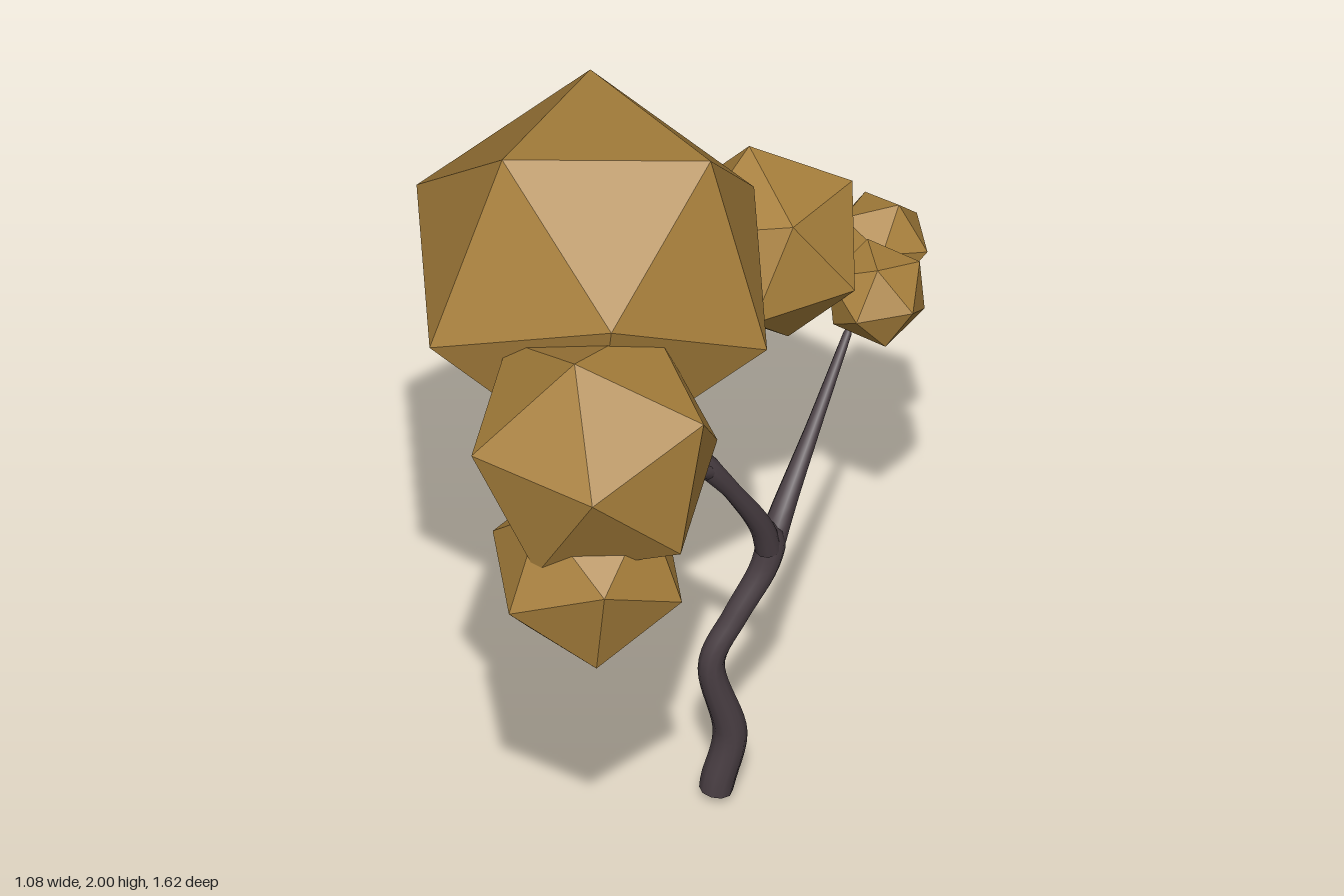
import * as THREE from 'three';

const V = (p) => new THREE.Vector3(...p);
const leafMaterial = new THREE.MeshStandardMaterial({ color: 0xa8803c, flatShading: true });
const barkMaterial = new THREE.MeshStandardMaterial({ color: 0x4a3f44 });

// Icosahedral leaf clump; a and b point from its centre to two neighbouring corners
function clump(name, radius, centre, a, b) {
  const va = V(a).normalize(), vb = V(b).normalize();
  const x = vb.clone().sub(va).normalize();
  const y = va.add(vb).normalize();
  const mesh = new THREE.Mesh(new THREE.IcosahedronGeometry(radius, 0), leafMaterial);
  mesh.quaternion.setFromRotationMatrix(
    new THREE.Matrix4().makeBasis(x, y, x.clone().cross(y)));
  mesh.position.set(...centre);
  mesh.name = name;
  return mesh;
}

// Tapered limb through points [x, y, z, radius], closed at both ends
function limb(name, points, sides = 10) {
  const curve = new THREE.CatmullRomCurve3(points.map((p) => V(p.slice(0, 3))), false, 'centripetal');
  const rows = (points.length - 1) * 5;
  const geometry = new THREE.TubeGeometry(curve, rows, 1, sides, false);
  const pos = geometry.attributes.position;
  const v = new THREE.Vector3();
  for (let i = 0; i <= rows; i++) {
    const u = i / rows;
    const centre = curve.getPointAt(u);
    const t = curve.getUtoTmapping(u) * (points.length - 1);
    const k = Math.min(Math.floor(t), points.length - 2);
    const r = i === 0 || i === rows
      ? 0.0005
      : THREE.MathUtils.lerp(points[k][3], points[k + 1][3], t - k);
    for (let j = 0; j <= sides; j++) {
      const n = i * (sides + 1) + j;
      v.fromBufferAttribute(pos, n).sub(centre).multiplyScalar(r).add(centre);
      pos.setXYZ(n, v.x, v.y, v.z);
    }
  }
  const mesh = new THREE.Mesh(geometry, barkMaterial);
  mesh.name = name;
  return mesh;
}

export function createModel() {
  const tree = new THREE.Group();
  tree.name = 'tree';

  // Crooked trunk and its forks
  const wood = new THREE.Group();
  wood.name = 'wood';
  wood.add(
    limb('trunk', [
      [0.172, 0.005, -0.058, 0.038], [0.18, 0.06, -0.062, 0.042], [0.205, 0.19, -0.075, 0.041],
      [0.168, 0.41, -0.048, 0.031], [0.215, 0.53, -0.085, 0.031], [0.27, 0.65, -0.13, 0.034],
      [0.285, 0.72, -0.142, 0.036], [0.285, 0.775, -0.15, 0.02],
    ]),
    limb('backBranch', [
      [0.28, 0.69, -0.135, 0.034], [0.295, 0.77, -0.185, 0.03],
      [0.33, 0.93, -0.335, 0.018], [0.37, 1.12, -0.52, 0.009],
    ]),
    limb('frontBranch', [
      [0.283, 0.69, -0.138, 0.034], [0.272, 0.79, -0.105, 0.028],
      [0.225, 0.95, -0.02, 0.022], [0.185, 1.06, 0.045, 0.029], [0.165, 1.1, 0.058, 0.02],
    ]),
    limb('topTwig', [
      [0.19, 1.05, 0.045, 0.026], [0.16, 1.11, 0.057, 0.018],
      [0.12, 1.18, 0.055, 0.013], [0.075, 1.25, 0.052, 0.01],
    ]),
    limb('frontTwig', [
      [0.195, 1.04, 0.03, 0.024], [0.175, 1.075, 0.1, 0.021],
      [0.16, 1.06, 0.22, 0.016], [0.125, 1.035, 0.45, 0.011],
    ]),
  );

  // Leaf clumps
  const leaves = new THREE.Group();
  leaves.name = 'leaves';
  leaves.add(
    clump('crownClump', 0.466, [-0.09, 1.6, 0.065], [-0.17, 0.4, 0.165], [0.29, 0.37, -0.015]),
    clump('frontClump', 0.323, [0.052, 1.43, 0.512], [-0.02, 0.31, 0.09], [0.278, 0.16, 0.038]),
    clump('lowerFrontClump', 0.241, [0.058, 1.137, 0.588], [0.087, -0.206, -0.093], [0.07, -0.17, 0.155]),
    clump('backClump', 0.246, [0.17, 1.317, -0.5], [-0.06, 0.23, -0.043], [-0.034, 0.06, -0.235]),
    clump('smallSideClump', 0.128, [0.425, 1.202, -0.527], [-0.01, 0, 0.12], [0.02, 0.11, 0.055]),
    clump('smallBackClump', 0.126, [0.375, 1.21, -0.7], [0.12, 0.01, 0.01], [0.05, 0.114, -0.01]),
  );

  tree.add(wood, leaves);
  return tree;
}
